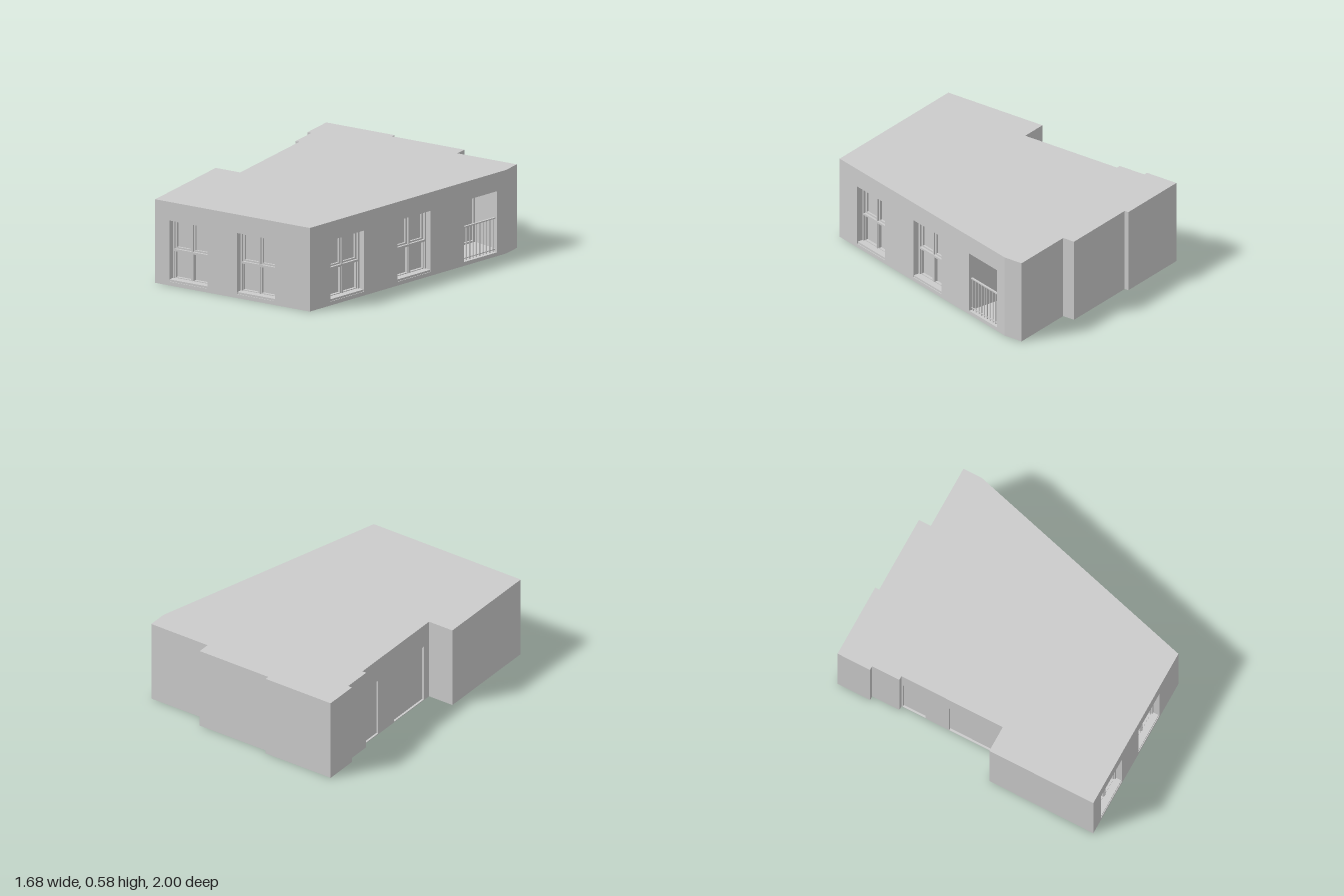
import * as THREE from 'three';

const H = 0.585;
const grey = new THREE.MeshStandardMaterial({ color: 0xcccccc });

// Plan outline (x, z); each edge becomes a wall seen left to right from outside
const PLAN = [
  [-0.84, 1], [0.36, 1], [0.84, -0.74], [0.84, -0.88], [0.38, -0.88],
  [0.38, -0.97], [-0.18, -0.97], [-0.18, -1], [-0.71, -1], [-0.71, -0.755],
  [-0.68, -0.755], [-0.68, -0.55], [-0.65, -0.55], [-0.65, 0.215], [-0.84, 0.215],
];

// Openings per wall index: s is the distance along the wall, y the bottom
const WIN = { y: 0.027, h: 0.428 };
const OPENINGS = {
  0: [
    { type: 'window', s: 0.11, w: 0.295, ...WIN },
    { type: 'window', s: 0.635, w: 0.295, ...WIN },
  ],
  1: [
    { type: 'window', s: 0.192, w: 0.306, ...WIN },
    { type: 'window', s: 0.806, w: 0.306, ...WIN },
    { type: 'loggia', s: 1.416, w: 0.306, ...WIN },
  ],
  12: [
    { type: 'door', s: 0.01, w: 0.17, y: 0.005, h: 0.415 },
    { type: 'door', s: 0.36, w: 0.345, y: 0.005, h: 0.415 },
  ],
};

function add(parent, name, geometry, x = 0, y = 0, z = 0) {
  const mesh = new THREE.Mesh(geometry, grey);
  mesh.name = name;
  mesh.position.set(x, y, z);
  parent.add(mesh);
  return mesh;
}

function rectPath(Type, x, y, w, h) {
  const p = new Type();
  p.moveTo(x, y);
  p.lineTo(x + w, y);
  p.lineTo(x + w, y + h);
  p.lineTo(x, y + h);
  p.closePath();
  return p;
}

// Box from its lower left back corner
function bar(parent, name, x, y, z, w, h, d) {
  return add(parent, name, new THREE.BoxGeometry(w, h, d), x + w / 2, y + h / 2, z + d / 2);
}

// Rectangular ring of bars, t wide and d deep
function ring(parent, name, x, y, z, w, h, t, d) {
  const shape = rectPath(THREE.Shape, x, y, w, h);
  shape.holes.push(rectPath(THREE.Path, x + t, y + t, w - 2 * t, h - 2 * t));
  return add(parent, name, new THREE.ExtrudeGeometry(shape, { depth: d, bevelEnabled: false }), 0, 0, z);
}

// Inward-facing box, open at the front and optionally at the back
function recess(parent, name, x, y, zFront, w, h, d, withBack = true) {
  const geo = new THREE.BoxGeometry(w, h, d);
  const all = Array.from(geo.index.array);
  const kept = all.slice(0, 24).concat(withBack ? all.slice(30) : []);
  geo.setIndex(kept.reverse());
  geo.clearGroups();
  geo.computeVertexNormals();
  return add(parent, name, geo, x + w / 2, y + h / 2, zFront - d / 2);
}

// Double sash window set back in its reveal
function buildWindow(parent, w, h) {
  recess(parent, 'windowReveal', 0, 0, 0, w, h, 0.075);
  ring(parent, 'windowFrame', 0, 0, -0.075, w, h, 0.012, 0.03);
  bar(parent, 'windowSill', 0, 0, -0.06, w, 0.014, 0.055);
  bar(parent, 'mullion', w / 2 - 0.006, 0.012, -0.075, 0.012, h - 0.024, 0.025);
  bar(parent, 'transom', 0.012, 0.205, -0.075, w - 0.024, 0.014, 0.03);
  const half = w / 2 - 0.018;
  for (const x of [0.012, w / 2 + 0.006]) {
    ring(parent, 'upperSash', x, 0.217, -0.075, half, h - 0.229, 0.013, 0.014);
    ring(parent, 'lowerSash', x, 0.012, -0.075, half, 0.195, 0.007, 0.02);
  }
}

// Recessed balcony with glazed doors at the back and a railing
function buildLoggia(parent, w, h) {
  const depth = 0.28, roomW = w + 0.05, split = 0.197;
  recess(parent, 'loggiaReveal', 0, 0, 0, w, h, 0.05, false);
  recess(parent, 'loggiaRoom', 0, 0, -0.05, roomW, h, depth - 0.05);
  ring(parent, 'balconyDoorFrame', 0, 0, -depth, split, h, 0.012, 0.015);
  ring(parent, 'balconyDoorSash', 0.016, 0.016, -depth, split - 0.032, h - 0.032, 0.01, 0.008);
  ring(parent, 'sideLightFrame', split, 0, -depth, roomW - split, h, 0.012, 0.015);

  const railY = 0.232, bars = 10;
  bar(parent, 'handrail', 0, railY, -0.03, w, 0.008, 0.014);
  bar(parent, 'lowerRail', 0, 0.014, -0.027, w, 0.006, 0.008);
  for (let i = 0; i < bars; i++) {
    const x = (w * (i + 0.5)) / bars;
    bar(parent, 'baluster', x - 0.003, 0, -0.026, 0.006, railY, 0.006);
  }
}

function buildDoor(parent, w, h) {
  recess(parent, 'doorRecess', 0, 0, 0, w, h, 0.015);
}

const BUILDERS = { window: buildWindow, loggia: buildLoggia, door: buildDoor };

function buildWall(index) {
  const [x0, z0] = PLAN[index];
  const [x1, z1] = PLAN[(index + 1) % PLAN.length];
  const wall = new THREE.Group();
  wall.name = 'wall' + (index + 1);
  wall.position.set(x0, 0, z0);
  wall.rotation.y = Math.atan2(z0 - z1, x1 - x0);

  const openings = OPENINGS[index] || [];
  const face = rectPath(THREE.Shape, 0, 0, Math.hypot(x1 - x0, z1 - z0), H);
  for (const o of openings) {
    face.holes.push(rectPath(THREE.Path, o.s, o.y, o.w, o.h));
    const group = new THREE.Group();
    group.name = o.type;
    group.position.set(o.s, o.y, 0);
    BUILDERS[o.type](group, o.w, o.h);
    wall.add(group);
  }
  add(wall, 'wallFace', new THREE.ShapeGeometry(face));
  return wall;
}

export function createModel() {
  const model = new THREE.Group();
  model.name = 'buildingStorey';
  PLAN.forEach((_, i) => model.add(buildWall(i)));

  // Flat roof and underside
  const slab = (sign) => new THREE.ShapeGeometry(
    new THREE.Shape(PLAN.map(([x, z]) => new THREE.Vector2(x, sign * z))));
  add(model, 'roof', slab(-1).rotateX(-Math.PI / 2), 0, H, 0);
  add(model, 'underside', slab(1).rotateX(Math.PI / 2));
  return model;
}
